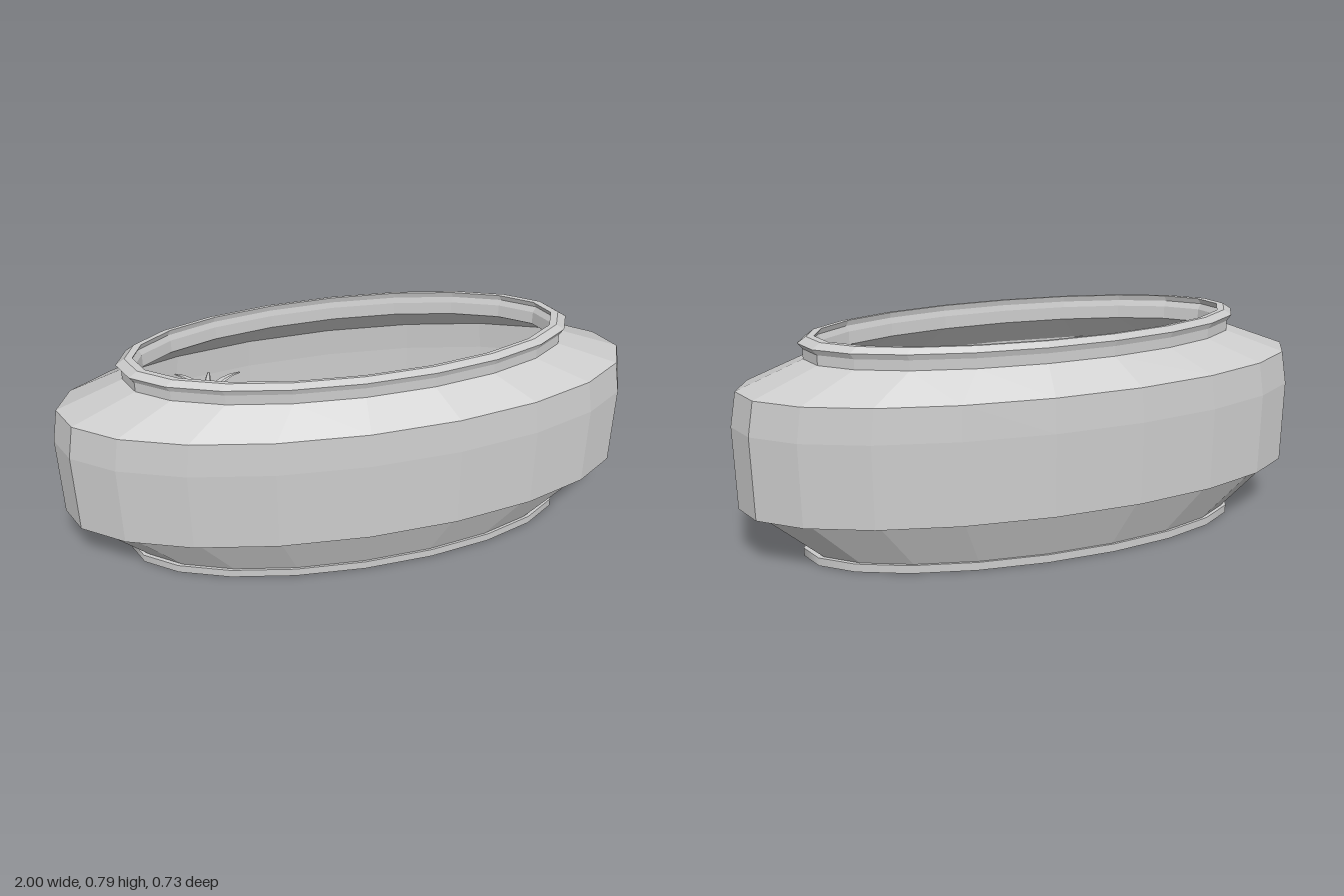
import * as THREE from 'three';

const DEPTH = 0.363; // z radius relative to x radius
const flat = new THREE.MeshStandardMaterial({ color: 0xcccccc, flatShading: true, side: THREE.DoubleSide });
const smooth = new THREE.MeshStandardMaterial({ color: 0xcccccc, side: THREE.DoubleSide });

// Oval turned shape from [radius, height] pairs, with 20 sides
function ovalLathe(name, profile, material) {
  const geometry = new THREE.LatheGeometry(profile.map(([r, y]) => new THREE.Vector2(r, y)), 20);
  geometry.scale(1, 1, DEPTH);
  const mesh = new THREE.Mesh(geometry, material);
  mesh.name = name;
  return mesh;
}

// Soft dunes that rise a little toward the left and right lobes
function sandHeight(x, z) {
  const mound = (cx, cz, rx, rz, h) => h * Math.exp(-(((x - cx) / rx) ** 2) - ((z - cz) / rz) ** 2);
  return 0.2 + mound(-0.25, -0.14, 0.22, 0.1, 0.08) + mound(-0.27, 0.15, 0.24, 0.1, 0.07)
    + mound(0.18, 0.11, 0.2, 0.1, 0.07) + mound(0.2, -0.15, 0.2, 0.09, 0.06)
    + mound(0.6, 0.02, 0.2, 0.2, 0.05) + mound(-0.65, 0, 0.18, 0.18, 0.05);
}

function sandBed() {
  const geometry = new THREE.RingGeometry(0.001, 0.94, 60, 24);
  geometry.rotateX(-Math.PI / 2);
  geometry.scale(1, 1, DEPTH);
  const p = geometry.attributes.position;
  for (let i = 0; i < p.count; i++) p.setY(i, sandHeight(p.getX(i), p.getZ(i)));
  geometry.computeVertexNormals();
  const mesh = new THREE.Mesh(geometry, smooth);
  mesh.name = 'sandBed';
  return mesh;
}

// Faceted rock resting on the sand
function rock(x, z, size, turn) {
  const mesh = new THREE.Mesh(new THREE.DodecahedronGeometry(size), flat);
  mesh.name = 'rock';
  mesh.position.set(x, sandHeight(x, z) + size * 0.4, z);
  mesh.rotation.set(turn, turn * 2, turn * 0.5);
  mesh.scale.set(1, 0.8, 0.85);
  return mesh;
}

// Stalk with a crown of tapering, drooping leaves
function leafyPlant(x, z, height, reach, leaves, turn) {
  const plant = new THREE.Group();
  plant.name = 'leafyPlant';
  const stalk = new THREE.Mesh(new THREE.CylinderGeometry(0.012, 0.022, height, 6), flat);
  stalk.name = 'stalk';
  stalk.position.y = height / 2;
  plant.add(stalk);
  for (let i = 0; i < leaves; i++) {
    const leafGeometry = new THREE.CylinderGeometry(0.004, 0.022, reach, 5, 4);
    leafGeometry.translate(0, reach / 2, 0);
    leafGeometry.scale(1, 1, 0.4);
    leafGeometry.rotateX(Math.PI / 2);
    const p = leafGeometry.attributes.position;
    for (let j = 0; j < p.count; j++) {
      const t = p.getZ(j) / reach;
      p.setY(j, p.getY(j) + 0.08 * t * (1 - 0.7 * t));
    }
    const leaf = new THREE.Mesh(leafGeometry, flat);
    leaf.name = 'leaf';
    leaf.position.y = height - 0.03 * (i % 2);
    leaf.rotation.y = turn + (i * 2 * Math.PI) / leaves;
    plant.add(leaf);
  }
  plant.position.set(x, sandHeight(x, z) - 0.01, z);
  return plant;
}

// Small coral with leaning branches
function coral(x, z, height) {
  const group = new THREE.Group();
  group.name = 'coral';
  for (let i = 0; i < 5; i++) {
    const branchGeometry = new THREE.CylinderGeometry(0.008, 0.014, height, 6);
    branchGeometry.translate(0, height / 2, 0);
    const branch = new THREE.Mesh(branchGeometry, flat);
    branch.name = 'branch';
    branch.rotation.set(0, i * 1.26, 0.3 + 0.12 * (i % 3));
    group.add(branch);
  }
  group.position.set(x, sandHeight(x, z) - 0.01, z);
  return group;
}

export function createModel() {
  const model = new THREE.Group();

  // Foot band and closed underside
  model.add(ovalLathe('footBand', [[0.795, 0], [0.795, 0.03]], smooth));
  model.add(ovalLathe('underside', [[0.001, 0], [0.795, 0]], flat));

  // Faceted wall, up the outside, over the lip and down the inside
  model.add(ovalLathe('bowl', [
    [0.795, 0.03], [0.775, 0.03], [0.965, 0.2], [1, 0.205], [1, 0.5], [0.977, 0.62],
    [0.752, 0.71], [0.752, 0.745], [0.768, 0.765], [0.738, 0.785],
    [0.712, 0.785], [0.725, 0.765], [0.715, 0.745], [0.715, 0.7],
    [0.945, 0.605], [0.965, 0.5], [0.965, 0.22], [0.93, 0.19], [0.76, 0.04], [0.001, 0.04],
  ], flat));

  // Scenery inside
  model.add(sandBed());
  model.add(leafyPlant(-0.48, -0.03, 0.38, 0.14, 7, 0.3));
  model.add(leafyPlant(0.32, -0.03, 0.26, 0.12, 7, 0.9));
  model.add(coral(0.5, -0.02, 0.14), coral(-0.58, 0, 0.12));
  [
    [-0.39, 0.04, 0.045], [-0.47, -0.06, 0.04], [-0.02, -0.22, 0.045], [-0.07, 0.01, 0.035],
    [0, 0.21, 0.045], [0.29, 0.19, 0.045], [-0.57, 0.12, 0.035], [0.69, -0.06, 0.03],
    [0.36, 0.02, 0.045], [0.31, -0.01, 0.04],
  ].forEach(([x, z, size], i) => model.add(rock(x, z, size, i * 0.7)));

  return model;
}
